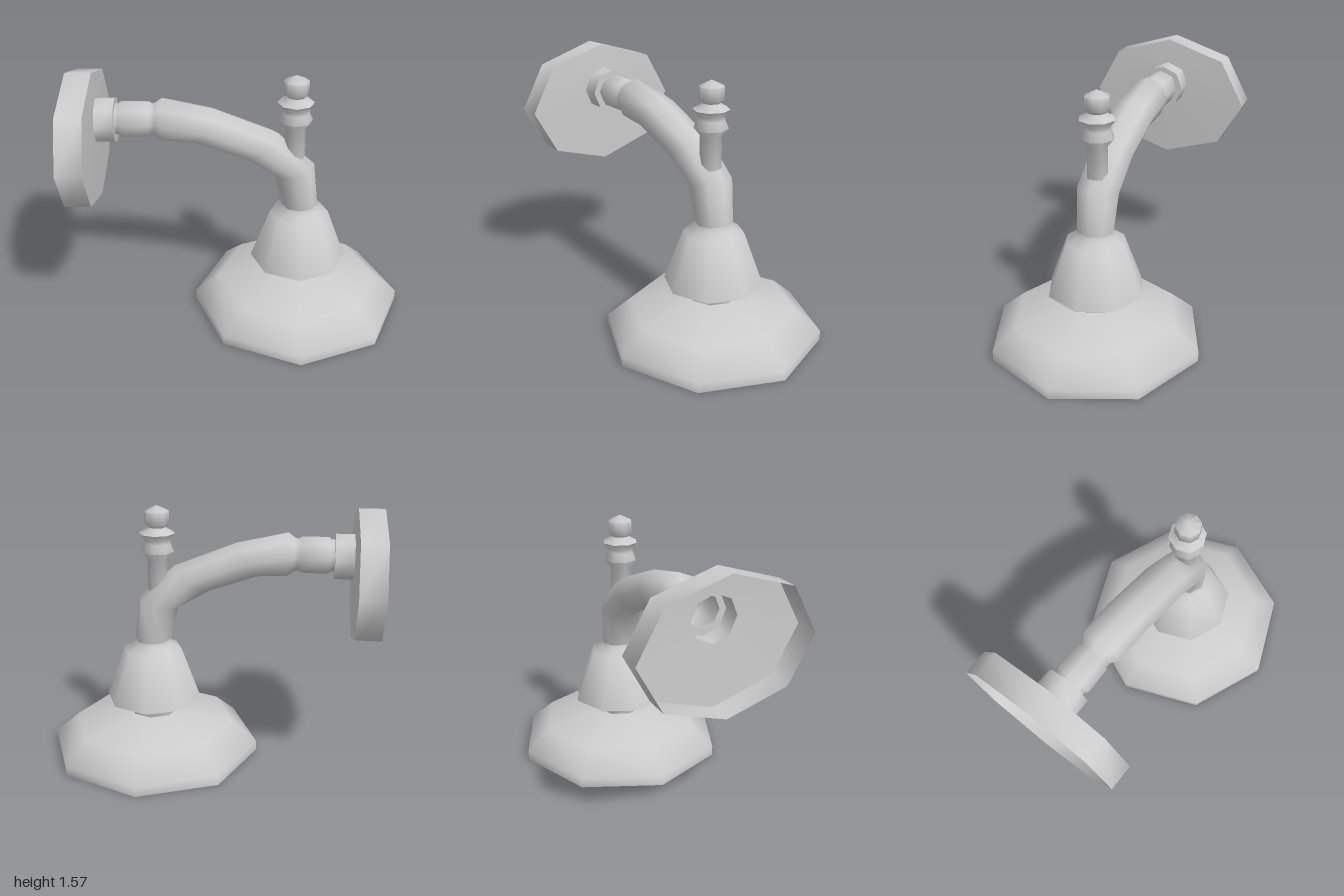
import * as THREE from 'three';
import { toCreasedNormals } from 'three/addons/utils/BufferGeometryUtils.js';

const SIDES = 8;
const CREASE = 1.2; // smooth around the eight sides, crisp at right-angled rims
const material = new THREE.MeshStandardMaterial({ color: 0xcccccc, side: THREE.DoubleSide });

function makeMesh(name, geometry) {
  const mesh = new THREE.Mesh(toCreasedNormals(geometry, CREASE), material);
  mesh.name = name;
  return mesh;
}

// Eight-sided upright turned part from [radius, height] pairs
function turned(name, x, profile) {
  const points = profile.map(([r, y]) => new THREE.Vector2(r, y));
  const mesh = makeMesh(name, new THREE.LatheGeometry(points, SIDES));
  mesh.position.x = x;
  return mesh;
}

// Tube through rings given as [topX, topY, bottomX, bottomY, halfWidth]
function loft(name, rings) {
  const positions = [];
  const index = [];
  rings.forEach(([tx, ty, bx, by, w], i) => {
    for (let j = 0; j < SIDES; j++) {
      const a = (j / SIDES) * Math.PI * 2;
      const c = Math.cos(a) / 2;
      positions.push((tx + bx) / 2 + c * (tx - bx), (ty + by) / 2 + c * (ty - by), w * Math.sin(a));
      if (i === rings.length - 1) continue;
      const k = i * SIDES + j;
      const n = i * SIDES + ((j + 1) % SIDES);
      index.push(k, n, k + SIDES, n, n + SIDES, k + SIDES);
    }
  });
  const geometry = new THREE.BufferGeometry();
  geometry.setAttribute('position', new THREE.Float32BufferAttribute(positions, 3));
  geometry.setIndex(index);
  geometry.computeVertexNormals();
  return makeMesh(name, geometry);
}

// Upright ring for a loft, round unless a half width is given
const ring = (x, y, r, w = r) => [x, y + r, x, y - r, w];

export function createModel() {
  const model = new THREE.Group();
  model.name = 'showerHead';

  // Oval wall flange, an open shell that steps into the off-centre collar
  model.add(loft('wallFlange', [
    ring(-1, 1.183, 0.387, 0.51),
    ring(-0.85, 1.183, 0.387, 0.51),
    ring(-0.84, 1.285, 0.135),
    ring(-0.73, 1.285, 0.135),
    ring(-0.73, 1.29, 0.095),
  ]));

  // Straight ringed neck, then the curved arm
  model.add(loft('arm', [
    ring(-0.73, 1.29, 0.095),
    ring(-0.71, 1.29, 0.095),
    ring(-0.69, 1.29, 0.11),
    ring(-0.54, 1.29, 0.108),
    ring(-0.52, 1.29, 0.095),
    ring(-0.5, 1.29, 0.1),
    [-0.46, 1.42, -0.46, 1.16, 0.13],
    [-0.16, 1.35, -0.28, 1.15, 0.13],
    [0.21, 1.2, 0, 1.05, 0.13],
    [0.43, 1.0, 0.19, 0.94, 0.13],
    [0.46, 0.73, 0.24, 0.73, 0.112],
  ]));

  // Flared bell under the arm
  model.add(turned('bell', 0.35, [
    [0, 0.35], [0.295, 0.35], [0.178, 0.67], [0.12, 0.7], [0.11, 0.735],
  ]));

  // Wide spray head, a shell open underneath, running up into its neck
  model.add(turned('sprayHead', 0.35, [
    [0.65, 0], [0.65, 0.06], [0.5, 0.19], [0.15, 0.26], [0.17, 0.36],
  ]));

  // Upright valve stem with waisted collar and pointed knob
  model.add(turned('valve', 0.31, [
    [0, 0.95], [0.063, 0.95], [0.063, 1.24], [0.1, 1.285], [0.08, 1.335], [0.08, 1.355],
    [0.107, 1.395], [0.06, 1.422], [0.055, 1.432], [0.074, 1.45], [0.074, 1.525], [0, 1.56],
  ]));

  return model;
}
